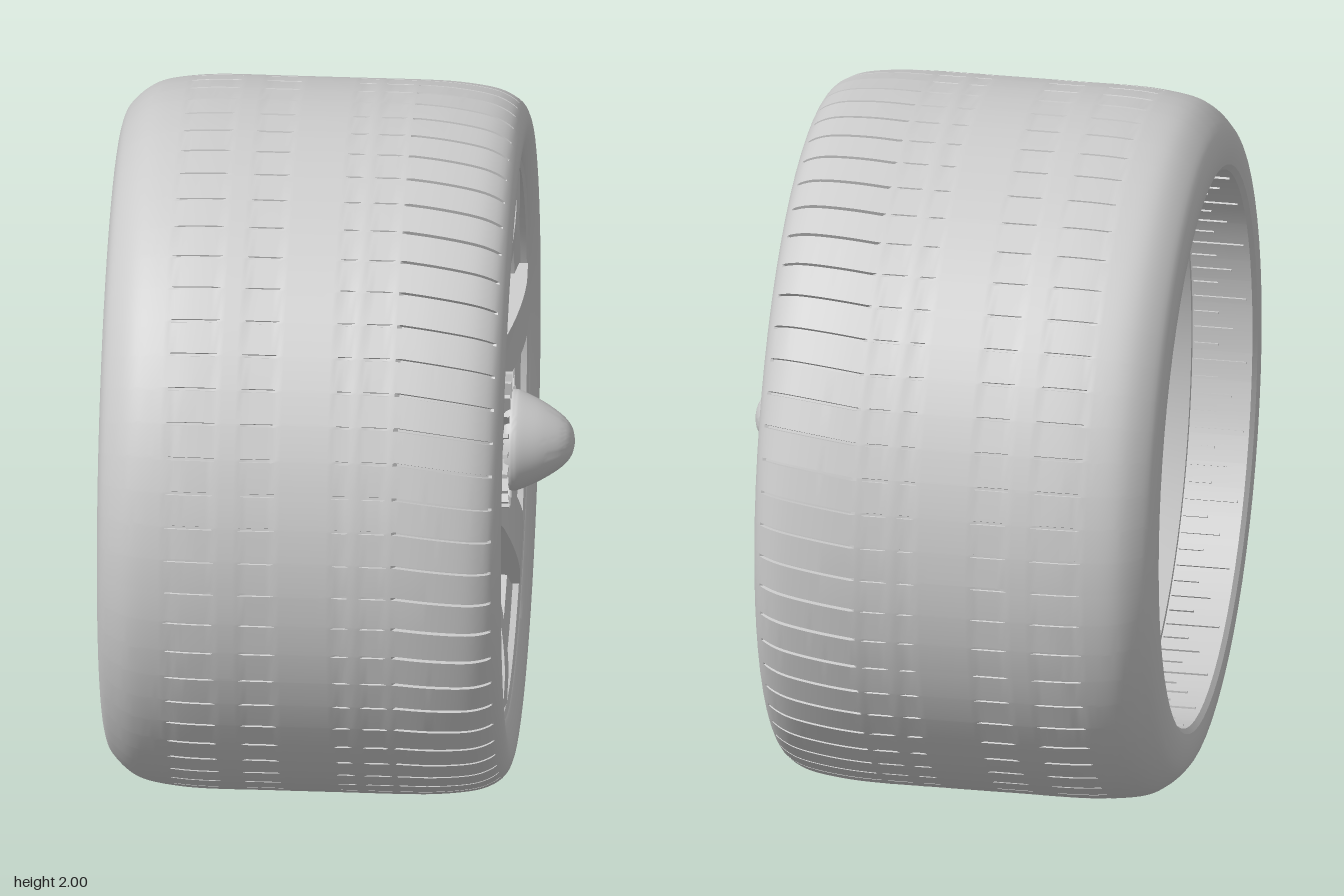
import * as THREE from 'three';
import { mergeGeometries, toCreasedNormals } from 'three/addons/utils/BufferGeometryUtils.js';

const TAU = Math.PI * 2, RAD = Math.PI / 180;
const material = new THREE.MeshStandardMaterial({ color: 0xcccccc, side: THREE.DoubleSide });
const v2 = ([r, w]) => new THREE.Vector2(r, w);
const polar = (r, a) => new THREE.Vector2(r * Math.cos(a), r * Math.sin(a));

// Wheel frame: axle along z, outer face toward +z; the whole wheel is turned at the end.
function lathe(points, segments = 96, crease = 0.5) {
  const g = new THREE.LatheGeometry(points, segments).rotateX(Math.PI / 2);
  return toCreasedNormals(g, crease);
}
function disc(r, w0, w1, sides = 64) {
  return new THREE.CylinderGeometry(r, r, w1 - w0, sides).rotateX(Math.PI / 2).translate(0, 0, (w0 + w1) / 2);
}
function ring(count, start, make) {
  return mergeGeometries(Array.from({ length: count }, (_, i) => make(i).rotateZ(start + (i * TAU) / count)));
}

// Tyre: a lathed section with thin slits pressed into bands of the tread
function tyreGeometry() {
  const outer = new THREE.SplineCurve([
    [0.8, -0.642], [0.83, -0.645], [0.87, -0.641], [0.91, -0.625], [0.955, -0.58],
    [0.98, -0.53], [0.994, -0.45], [1, -0.36], [1, -0.2], [1, 0], [1, 0.2], [0.996, 0.3], [0.984, 0.39],
    [0.966, 0.44], [0.94, 0.472], [0.9, 0.489], [0.86, 0.488], [0.82, 0.477], [0.79, 0.462], [0.775, 0.44],
  ].map(v2)).getSpacedPoints(110);
  // The rear bead runs inward as a straight wall
  const section = [[0.785, -0.45], [0.785, -0.63]].map(v2).concat(outer);
  const sectors = 64, cuts = [0, 0.9, 0.915, 0.985];
  const bands = [[0.2, 0.465, 0.012], [0.1, 0.17, 0.004], [0.02, 0.07, 0.004], [-0.23, -0.15, 0.004], [-0.44, -0.32, 0.004]];
  const g = new THREE.LatheGeometry(section, sectors * 4);
  const p = g.attributes.position, rows = section.length;
  for (let i = 0; i < p.count; i++) {
    const step = Math.floor(i / rows), { x: r, y: w } = section[i % rows];
    const band = r > 0.945 && bands.find(([a, b]) => w > a && w < b);
    const depth = band && step % 4 > 1 ? band[2] : 0;
    const skew = 0.12 * Math.max(w - 0.2, 0);
    const a = ((Math.floor(step / 4) + cuts[step % 4]) / sectors) * TAU + skew;
    p.setXYZ(i, (r - depth) * Math.sin(a), w, (r - depth) * Math.cos(a));
  }
  return toCreasedNormals(g.rotateX(Math.PI / 2), 0.5);
}

// Six broad spokes joined by U-shaped webs: each is a box bent into a polar strip
function spokesGeometry() {
  const radii = [0.235, 0.26, 0.278, 0.279, 0.282, 0.287, 0.295, 0.305, 0.32, 0.34, 0.36, 0.39,
    0.423, 0.46, 0.5, 0.54, 0.58, 0.62, 0.66, 0.69, 0.72, 0.75];
  const halfAngle = (r) => {
    if (r <= 0.278) return 30 * RAD;
    if (r < 0.423) return (30 - 19.8 * Math.cbrt((r - 0.278) / 0.145)) * RAD;
    return Math.asin((0.075 + (r - 0.423) * 0.045) / r);
  };
  const crown = new THREE.SplineCurve([[0.235, 0.37], [0.34, 0.405], [0.44, 0.435], [0.54, 0.456], [0.65, 0.467], [0.75, 0.465]].map(v2));
  return ring(6, 7 * RAD, () => {
    const last = radii.length - 1;
    const g = new THREE.BoxGeometry(1, 1, 1, last, 10, 1);
    const p = g.attributes.position;
    for (let i = 0; i < p.count; i++) {
      const r = radii[Math.round((p.getX(i) + 0.5) * last)];
      const q = polar(r, 2 * p.getY(i) * halfAngle(r));
      const top = crown.getPoint(THREE.MathUtils.clamp((r - 0.235) / 0.515, 0, 1)).y;
      p.setXYZ(i, q.x, q.y, top + (p.getZ(i) - 0.5) * 0.06);
    }
    return toCreasedNormals(g, 0.6);
  });
}

// Slim tapered spokes set behind the broad ones
function slimSpokesGeometry() {
  return mergeGeometries([37, 107, 147, 217, 287, 327].map((deg) => {
    const s = new THREE.Shape([[0.24, -0.05], [0.68, -0.025], [0.68, 0.025], [0.24, 0.05]].map(v2));
    return new THREE.ExtrudeGeometry(s, { depth: 0.09, bevelEnabled: false }).translate(0, 0, 0.25).rotateZ(deg * RAD);
  }));
}

// Brake disc drilled with swirled rows of holes
function brakeDiscGeometry() {
  const s = new THREE.Shape().absarc(0, 0, 0.465, 0, TAU, false);
  for (let k = 0; k < 12; k++) {
    for (let j = 0; j < 3; j++) {
      const c = polar(0.42 - j * 0.04, (20 + k * 30 + j * 7) * RAD);
      s.holes.push(new THREE.Path().absarc(c.x, c.y, 0.011, 0, TAU, true));
    }
  }
  const g = new THREE.ExtrudeGeometry(s, { depth: 0.06, bevelEnabled: false, curveSegments: 32 });
  return toCreasedNormals(g.translate(0, 0, -0.33), 0.5);
}

// Caliper arc beside the disc, with a stepped block at each end
function caliperGeometry() {
  const arc = (r0, r1, a0, a1, w0, w1) => {
    const s = new THREE.Shape();
    s.absarc(0, 0, r1, a0 * RAD, a1 * RAD, false);
    s.absarc(0, 0, r0, a1 * RAD, a0 * RAD, true);
    return new THREE.ExtrudeGeometry(s, { depth: w1 - w0, bevelEnabled: false, curveSegments: 24 }).translate(0, 0, w0);
  };
  return toCreasedNormals(mergeGeometries([
    arc(0.34, 0.475, -10, 98, -0.25, -0.16), arc(0.468, 0.485, -6, 94, -0.34, -0.16),
    arc(0.42, 0.51, -13, -5, -0.33, -0.17), arc(0.4, 0.5, 86, 104, -0.33, -0.17),
    arc(0.36, 0.44, 12, 76, -0.16, -0.13),
  ]), 0.5);
}

export function createModel() {
  const model = new THREE.Group();
  const wheel = new THREE.Group();
  wheel.name = 'wheel';
  const add = (name, geometry) => {
    const mesh = new THREE.Mesh(geometry, material);
    mesh.name = name;
    wheel.add(mesh);
    return mesh;
  };

  add('tyre', tyreGeometry());

  // Rim: rear edge set inside the tyre, barrel narrowing forward, then a stepped outer lip
  add('rim', lathe([
    [0.785, -0.46], [0.765, -0.46], [0.71, -0.28], [0.665, -0.1], [0.64, 0.05], [0.635, 0.15],
    [0.635, 0.3], [0.65, 0.32], [0.695, 0.34], [0.7, 0.43], [0.765, 0.443], [0.77, 0.46], [0.785, 0.466], [0.795, 0.45],
  ].map(v2)));
  // Fine ribs of uneven length lining the rear bead wall
  add('rearBeadRibs', ring(100, 0, (i) => {
    const length = [0.15, 0.07, 0.11, 0.07][i % 4];
    return new THREE.BoxGeometry(0.01, 0.006, length).translate(0.784, 0, -0.465 - length / 2);
  }));

  add('spokes', spokesGeometry());
  add('slimSpokes', slimSpokesGeometry());

  // Recessed hub with a centre cone held on radial fins
  add('hub', lathe([[0, 0.27], [0.25, 0.27], [0.25, 0.355], [0.24, 0.37], [0.2, 0.36], [0, 0.36]].map(v2), 64));
  add('axle', disc(0.17, -0.3, 0.28));
  add('hubFins', ring(20, 0.1, () => new THREE.BoxGeometry(0.1, 0.012, 0.11).translate(0.14, 0, 0.41)));
  const cone = new THREE.SplineCurve([
    [0.14, 0.46], [0.142, 0.48], [0.128, 0.515], [0.105, 0.56], [0.07, 0.61], [0.037, 0.635], [0, 0.643],
  ].map(v2)).getPoints(24);
  add('centreCone', lathe([new THREE.Vector2(0, 0.45), new THREE.Vector2(0.13, 0.45), ...cone], 64, 0.7));

  // Wheel nuts: round seat, hexagon and stud
  add('wheelNuts', ring(5, 31 * RAD, () => mergeGeometries([
    new THREE.TorusGeometry(0.038, 0.007, 8, 24).translate(0, 0, 0.365),
    disc(0.032, 0.35, 0.405, 6), disc(0.017, 0.4, 0.42, 16),
  ]).translate(0.19, 0, 0)));

  // Brake parts
  add('brakeDisc', brakeDiscGeometry());
  add('brakeDiscHat', disc(0.27, -0.335, -0.22));
  add('rearHubRing', new THREE.TorusGeometry(0.265, 0.01, 8, 64).translate(0, 0, -0.335));
  add('brakeCaliper', caliperGeometry());

  // Tyre valve leaning in from the rim
  const valve = add('valve', mergeGeometries([
    new THREE.CylinderGeometry(0.024, 0.03, 0.06, 20).translate(0, 0.02, 0),
    new THREE.CylinderGeometry(0.014, 0.014, 0.07, 16).translate(0, 0.07, 0),
    new THREE.CylinderGeometry(0.022, 0.022, 0.04, 16).translate(0, 0.11, 0),
  ]));
  valve.position.set(0.665, 0.18, 0.29);
  valve.rotation.set(Math.PI / 2, 0, 0.7);

  // Turn the axle onto x and stand the wheel on the ground
  wheel.rotation.y = Math.PI / 2;
  wheel.position.y = 1;
  model.add(wheel);
  return model;
}
